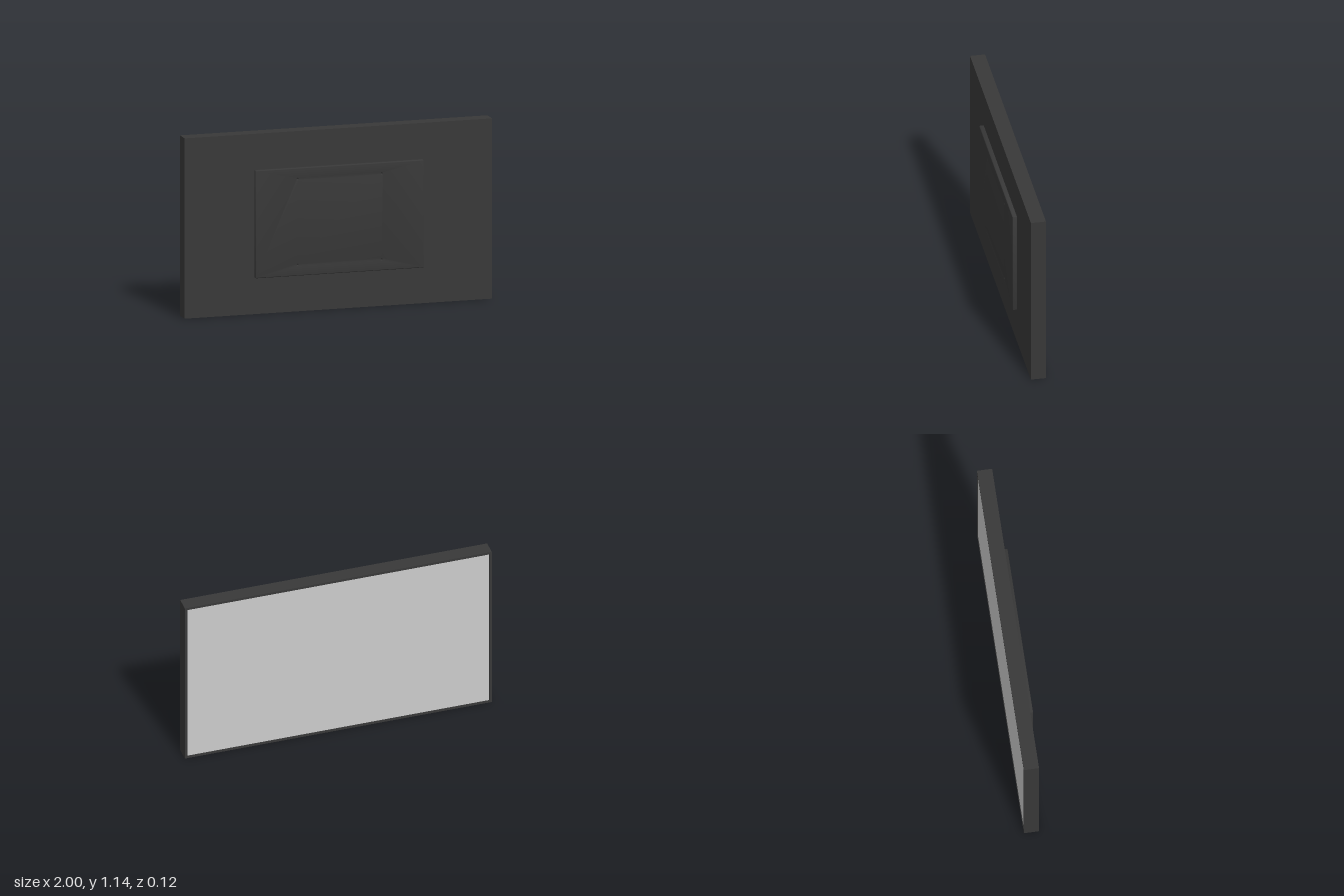
import * as THREE from 'three';
import { toCreasedNormals } from 'three/addons/utils/BufferGeometryUtils.js';

const W = 2, H = 1.145, BACK = 0.033, FRONT = -0.0625;
const dark = new THREE.MeshStandardMaterial({ color: 0x383838 });
const grey = new THREE.MeshStandardMaterial({ color: 0xcccccc });

// Centred rectangle with optional rounded corners
function rect(w, h, r = 0, Type = THREE.Shape) {
  const s = new Type(), x = w / 2, y = h / 2;
  if (!r) {
    s.moveTo(-x, -y).lineTo(x, -y).lineTo(x, y).lineTo(-x, y).closePath();
    return s;
  }
  s.absarc(x - r, -y + r, r, -Math.PI / 2, 0);
  s.absarc(x - r, y - r, r, 0, Math.PI / 2);
  s.absarc(-x + r, y - r, r, Math.PI / 2, Math.PI);
  s.absarc(-x + r, -y + r, r, Math.PI, Math.PI * 1.5);
  s.closePath();
  return s;
}

export function createModel() {
  const group = new THREE.Group();
  const add = (name, geometry, material, y, z) => {
    const mesh = new THREE.Mesh(geometry, material);
    mesh.name = name;
    mesh.position.set(0, y, z);
    group.add(mesh);
  };

  // Solid housing behind the screen
  const bezel = 0.016, recess = 0.006;
  const depth = BACK - FRONT - recess;
  add('housing', new THREE.BoxGeometry(W, H, depth), dark, H / 2, BACK - depth / 2);

  // Thin raised frame around the screen
  const frame = rect(W, H);
  frame.holes.push(rect(W - 2 * bezel, H - 2 * bezel, 0, THREE.Path));
  add('bezel', new THREE.ExtrudeGeometry(frame, { depth: recess, bevelEnabled: false }), dark, H / 2, FRONT);

  // Screen set into the frame
  const screen = new THREE.BoxGeometry(W - 2 * bezel, H - 2 * bezel, 0.002);
  add('screen', screen, grey, H / 2, FRONT + recess - 0.001);

  // Mounting plate with softened edges and four screw holes
  const bevel = 0.005, thickness = 0.0295;
  const plate = rect(1.094, 0.685, 0.006);
  for (const x of [-0.273, 0.273]) {
    for (const y of [-0.273, 0.273]) {
      plate.holes.push(new THREE.Path().absarc(x, y, 0.004, 0, Math.PI * 2, true));
    }
  }
  const plateGeometry = new THREE.ExtrudeGeometry(plate, {
    depth: thickness - 2 * bevel, curveSegments: 6,
    bevelThickness: bevel, bevelSize: bevel, bevelOffset: -bevel, bevelSegments: 3,
  });
  add('mountingPlate', toCreasedNormals(plateGeometry, 0.6), dark, 0.5745, BACK + bevel);

  return group;
}
